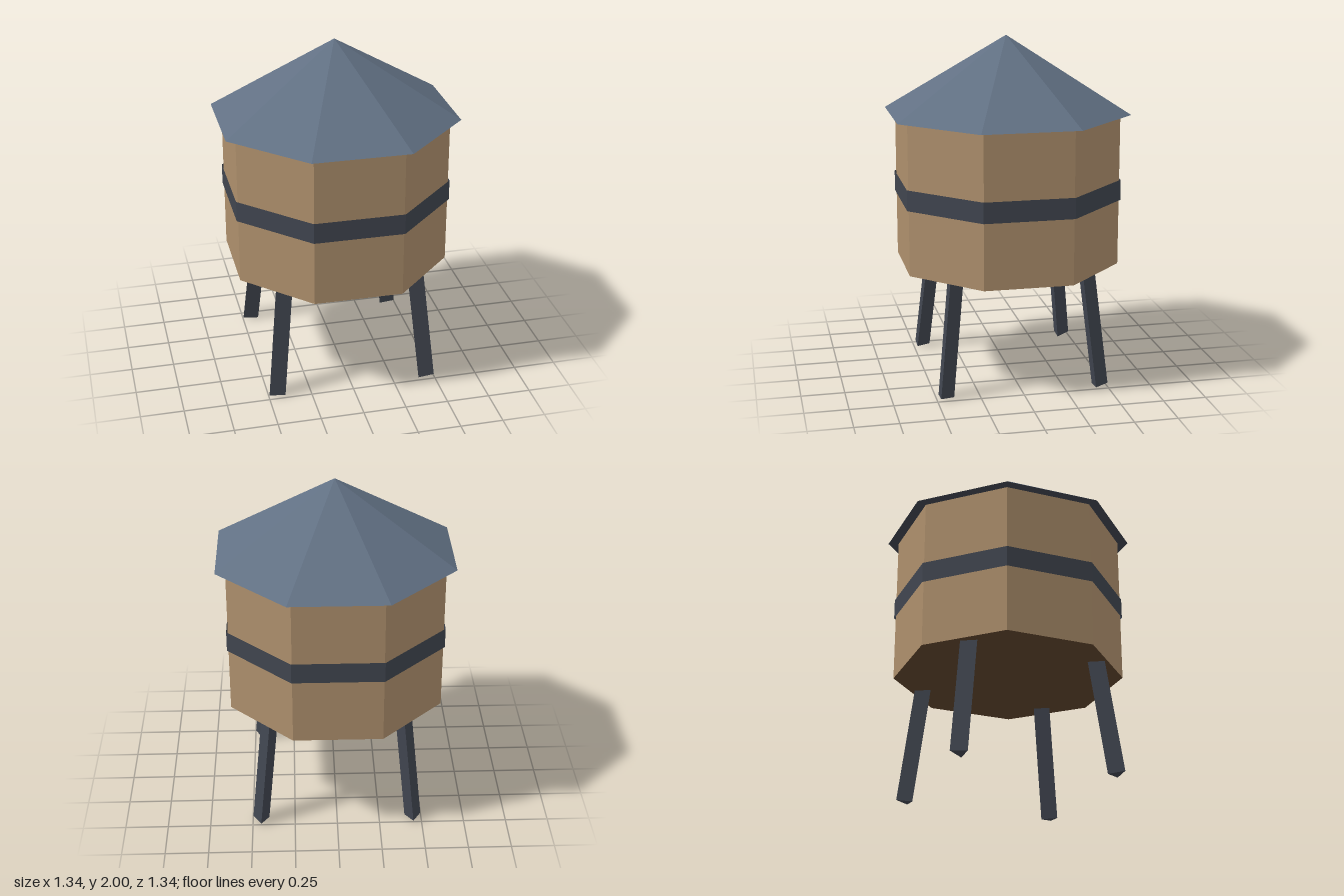
import * as THREE from 'three';

export function createModel() {
  const group = new THREE.Group();
  const paint = (name, color, side = THREE.FrontSide) => {
    const material = new THREE.MeshStandardMaterial({ color, side, flatShading: true });
    material.name = name;
    return material;
  };
  const wood = paint('wood', 0xad8f6c);
  const darkWood = paint('darkWood', 0x5e442c);
  const slate = paint('slate', 0x617083);
  const iron = paint('iron', 0x40454f);
  const bandIron = paint('bandIron', 0x40454f, THREE.DoubleSide);

  const add = (name, geometry, material) => {
    const mesh = new THREE.Mesh(geometry, material);
    mesh.name = name;
    group.add(mesh);
    return mesh;
  };

  // Eight-sided drum with flat sides facing the axes; apothem is the half width.
  // Materials are in the order side, top, bottom; one material alone leaves the ends open.
  const octagon = (name, apothemTop, apothemBottom, y0, y1, materials) => {
    const k = 1 / Math.cos(Math.PI / 8);
    const open = !Array.isArray(materials);
    const geometry = new THREE.CylinderGeometry(apothemTop * k, apothemBottom * k, y1 - y0, 8, 1, open);
    geometry.rotateY(Math.PI / 8);
    geometry.translate(0, (y0 + y1) / 2, 0);
    return add(name, geometry, materials);
  };

  octagon('tank', 0.612, 0.612, 0.677, 1.565, [wood, wood, darkWood]);
  octagon('band', 0.621, 0.621, 1.06, 1.18, bandIron);
  octagon('roof', 0, 0.669, 1.56, 2, [slate, slate, iron]);

  // Four splayed three-sided legs, each with its flat side to the front
  const up = new THREE.Vector3(0, 1, 0);
  for (const sx of [-1, 1]) {
    for (const sz of [-1, 1]) {
      const foot = new THREE.Vector3(sx * 0.451, 0.01, sz * 0.453);
      const top = new THREE.Vector3(sx * 0.382, 0.72, sz * 0.378);
      const axis = top.clone().sub(foot);
      const geometry = new THREE.CylinderGeometry(0.055, 0.055, axis.length(), 3);
      geometry.rotateY(Math.PI);
      const name = (sz > 0 ? 'front' : 'back') + (sx > 0 ? 'Left' : 'Right') + 'Leg';
      const leg = add(name, geometry, iron);
      leg.position.copy(foot).add(top).multiplyScalar(0.5);
      leg.quaternion.setFromUnitVectors(up, axis.normalize());
    }
  }
  return group;
}
